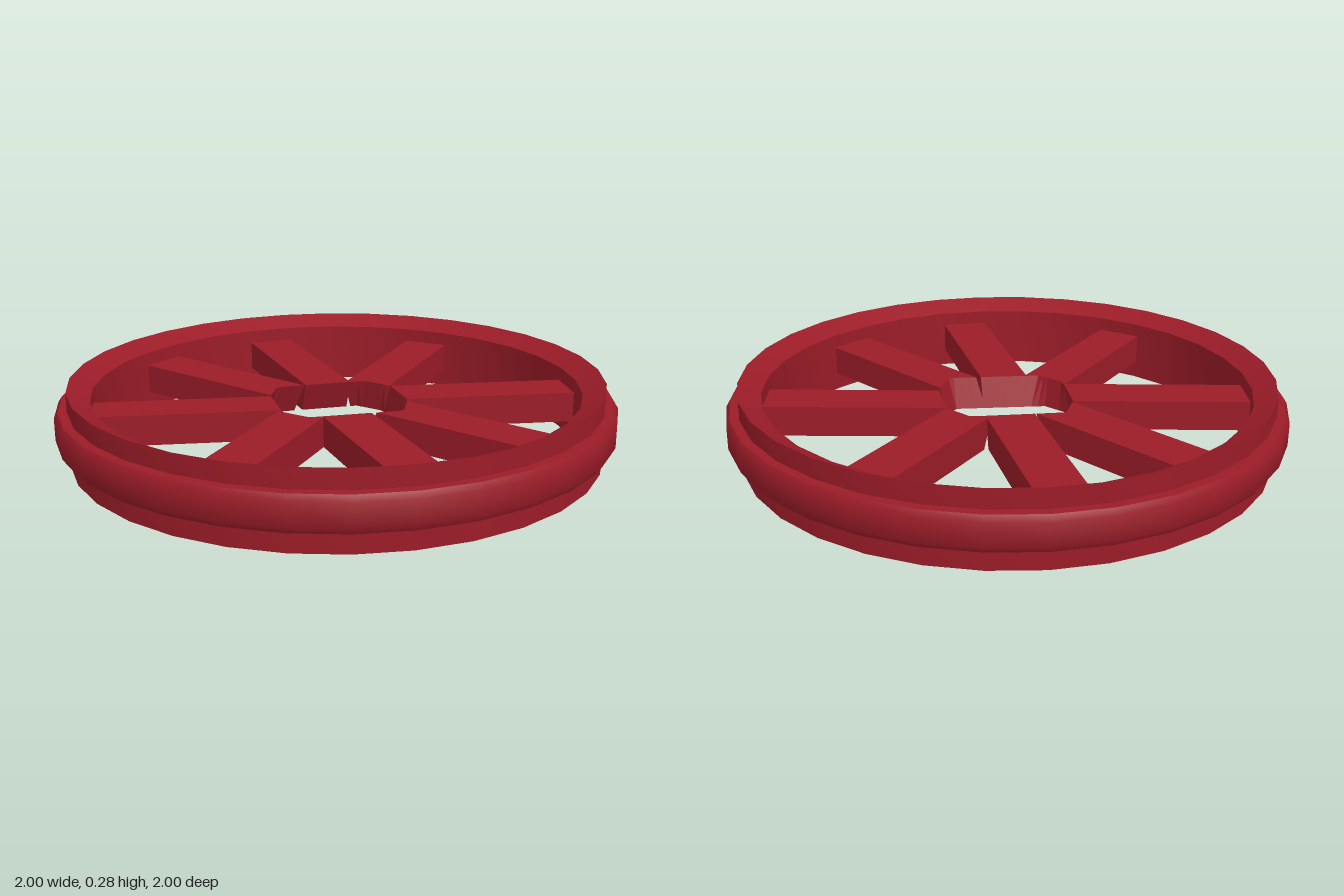
import * as THREE from 'three';
import { toCreasedNormals } from 'three/addons/utils/BufferGeometryUtils.js';

const material = new THREE.MeshStandardMaterial({ color: 0x9b1c28 });

// Outline of the hub hole (x, z) at the top of the spokes; it leans toward -x going down
const HOLE = [
  [0, -0.25], [0.18, -0.19], [0.265, -0.1], [0.125, 0.21],
  [0.02, 0.25], [-0.16, 0.18], [-0.24, 0.1], [-0.11, -0.21],
];
const HOLE_LEAN = -0.045;

// Distance along direction (dx, dz) at which a line from (px, pz) leaves the hole
function leaveHole(px, pz, dx, dz, shift) {
  let best = Infinity;
  HOLE.forEach(([ax, az], i) => {
    const [bx, bz] = HOLE[(i + 1) % HOLE.length];
    const nx = bz - az, nz = ax - bx; // outward edge normal
    const facing = nx * dx + nz * dz;
    if (facing > 1e-6) {
      best = Math.min(best, (nx * (ax + shift - px) + nz * (az - pz)) / facing);
    }
  });
  return best;
}

// Straight bar from the hub hole to the rim, set slightly off the radial line
function makeSpoke(angle, offset) {
  const geometry = new THREE.BoxGeometry(1, 0.11, 0.172, 1, 1, 8);
  const pos = geometry.attributes.position;
  const dx = Math.cos(angle), dz = Math.sin(angle);
  for (let i = 0; i < pos.count; i++) {
    const across = offset + pos.getZ(i);
    const px = -dz * across, pz = dx * across;
    const shift = pos.getY(i) > 0 ? 0 : HOLE_LEAN;
    const r = pos.getX(i) < 0 ? leaveHole(px, pz, dx, dz, shift) : 0.875;
    pos.setXYZ(i, px + dx * r, pos.getY(i) + 0.122, pz + dz * r);
  }
  const flat = geometry.toNonIndexed();
  flat.computeVertexNormals();
  return new THREE.Mesh(flat, material);
}

export function createModel() {
  const wheel = new THREE.Group();
  wheel.name = 'wheel';

  // Rim with a raised outer band and an inward-sloping top lip
  const profile = [
    [0.875, 0], [0.955, 0], [0.955, 0.073], [0.985, 0.077], [1, 0.1],
    [1, 0.18], [0.987, 0.2], [0.955, 0.2], [0.955, 0.268], [0.875, 0.228], [0.875, 0],
  ].map(([r, y]) => new THREE.Vector2(r, y));
  const rim = new THREE.Mesh(
    toCreasedNormals(new THREE.LatheGeometry(profile, 32), 0.85), material);
  rim.name = 'rim';
  wheel.add(rim);

  // Eight spokes, mirrored across both axes
  const spokes = new THREE.Group();
  spokes.name = 'spokes';
  for (const degrees of [15, 60]) {
    const a = THREE.MathUtils.degToRad(degrees);
    for (const [angle, offset] of [
      [a, 0.037], [-a, -0.037], [Math.PI - a, -0.037], [Math.PI + a, 0.037],
    ]) {
      const spoke = makeSpoke(angle, offset);
      spoke.name = 'spoke';
      spokes.add(spoke);
    }
  }
  wheel.add(spokes);

  // The wheel lies with a very slight forward lean
  wheel.rotation.x = 0.005;
  wheel.position.y = 0.005;

  const model = new THREE.Group();
  model.add(wheel);
  return model;
}
